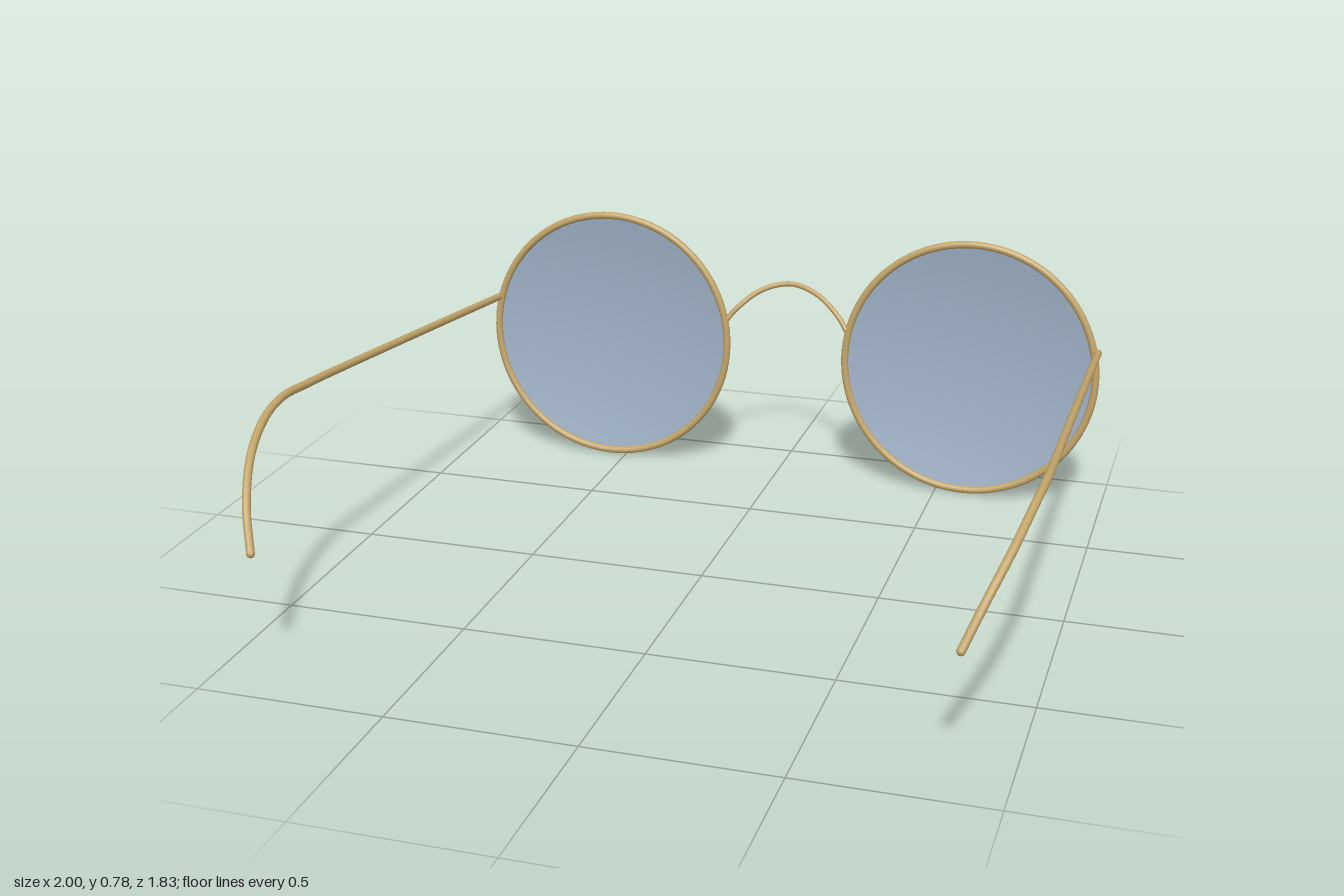
import * as THREE from 'three';

const gold = new THREE.MeshStandardMaterial({ color: 0xc2a468 });
const glass = new THREE.MeshStandardMaterial({ color: 0x9dafc4, side: THREE.DoubleSide });

// Round wire through the given points, with rounded ends
function wire(name, points, radius, segments) {
  const group = new THREE.Group();
  group.name = name;
  const pts = points.map((p) => new THREE.Vector3(...p));
  const curve = new THREE.CatmullRomCurve3(pts, false, 'centripetal');
  const rod = new THREE.Mesh(new THREE.TubeGeometry(curve, segments, radius, 12), gold);
  rod.name = name + 'Wire';
  group.add(rod);
  for (const end of [pts[0], pts[pts.length - 1]]) {
    const cap = new THREE.Mesh(new THREE.SphereGeometry(radius, 12, 8), gold);
    cap.name = name + 'End';
    cap.position.copy(end);
    group.add(cap);
  }
  return group;
}

// Wire rim with a shallow domed lens bulging towards -z
function eyepiece(name, x, z, yaw) {
  const group = new THREE.Group();
  group.name = name;
  const rim = new THREE.Mesh(new THREE.TorusGeometry(0.379, 0.011, 12, 96), gold);
  rim.name = name + 'Rim';
  const profile = [];
  for (let i = 0; i <= 12; i++) {
    const t = 1 - i / 12;
    profile.push(new THREE.Vector2(0.377 * t, 0.036 * (1 - t * t)));
  }
  const lens = new THREE.Mesh(new THREE.LatheGeometry(profile, 96).rotateX(-Math.PI / 2), glass);
  lens.name = name + 'Lens';
  group.add(rim, lens);
  group.position.set(x, 0.39, z);
  group.rotation.set(-0.053, yaw, 0);
  return group;
}

export function createModel() {
  const model = new THREE.Group();
  model.name = 'roundSpectacles';

  model.add(eyepiece('rightEyepiece', -0.549, -0.842, -0.013));
  model.add(eyepiece('leftEyepiece', 0.581, -0.829, -0.026));

  // Arched nose bridge
  model.add(wire('bridge', [
    [-0.172, 0.475, -0.843], [-0.145, 0.508, -0.858], [-0.075, 0.562, -0.895], [0.012, 0.583, -0.913],
    [0.1, 0.562, -0.892], [0.175, 0.51, -0.855], [0.203, 0.475, -0.84],
  ], 0.008, 48));

  // Temple arms with hooked ear ends
  model.add(wire('rightArm', [
    [-0.925, 0.48, -0.848], [-0.958, 0.537, -0.2], [-0.987, 0.582, 0.35], [-0.991, 0.589, 0.48],
    [-0.982, 0.57, 0.6], [-0.96, 0.515, 0.72], [-0.925, 0.427, 0.82], [-0.89, 0.328, 0.88],
  ], 0.011, 96));
  model.add(wire('leftArm', [
    [0.962, 0.48, -0.822], [0.975, 0.537, -0.2], [0.987, 0.582, 0.35], [0.988, 0.589, 0.48],
    [0.978, 0.573, 0.61], [0.953, 0.515, 0.735], [0.91, 0.42, 0.84], [0.872, 0.328, 0.902],
  ], 0.011, 96));

  return model;
}
